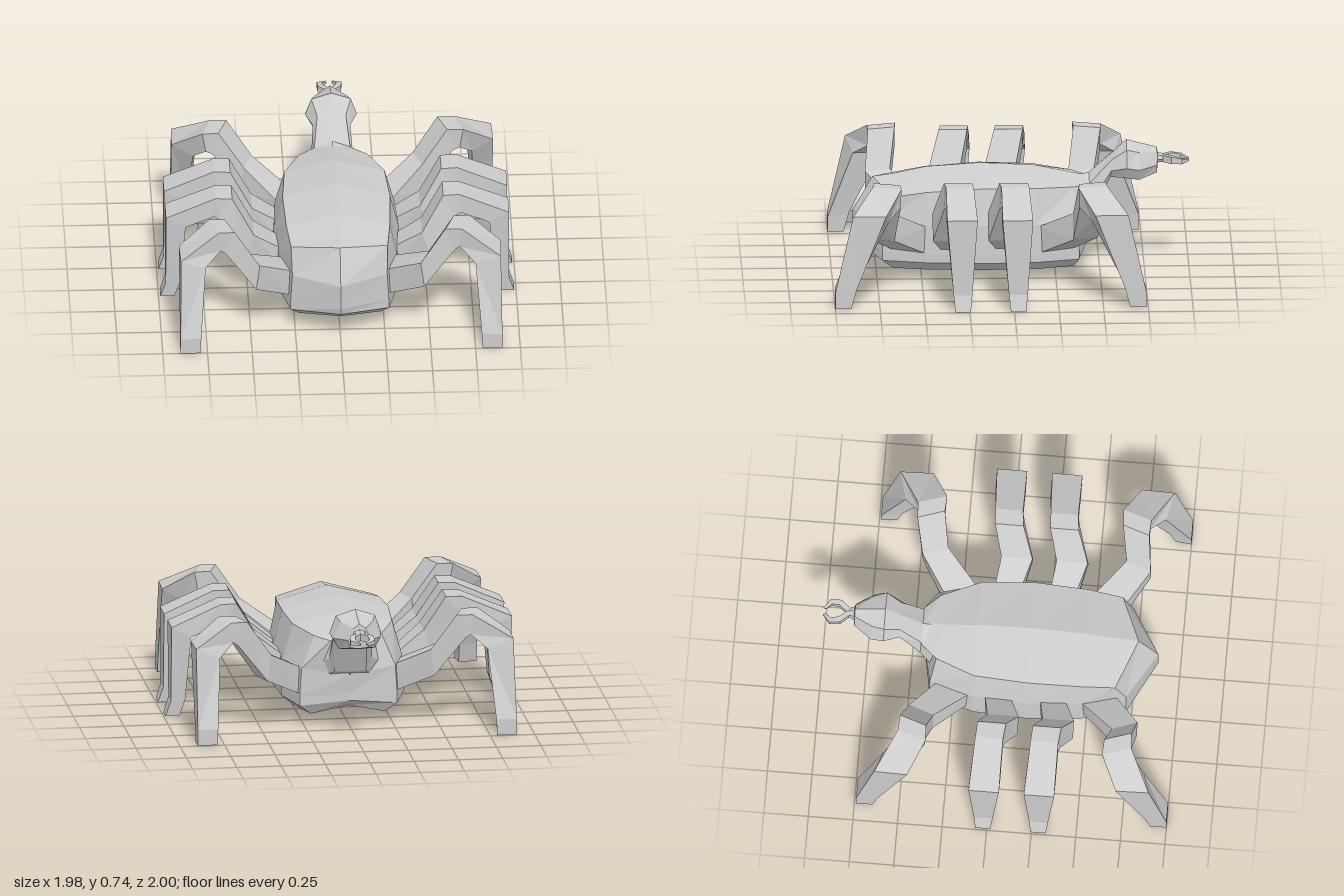
import * as THREE from 'three';

const shell = new THREE.MeshStandardMaterial({ color: 0xcccccc, flatShading: true });
shell.name = 'grey shell';

// Skin a closed, capped solid through rings of points; winding is fixed by signed volume.
function loft(name, rings) {
  const tris = [];
  const n = rings[0].length;
  const v = rings.map(r => r.map(p => new THREE.Vector3(...p)));
  const add = (a, b, c) => {
    if (new THREE.Triangle(a, b, c).getArea() > 1e-6) tris.push([a, b, c]);
  };
  for (let i = 0; i < v.length - 1; i++) {
    for (let j = 0; j < n; j++) {
      const k = (j + 1) % n;
      add(v[i][j], v[i][k], v[i + 1][k]);
      add(v[i][j], v[i + 1][k], v[i + 1][j]);
    }
  }
  const last = v[v.length - 1];
  for (let j = 1; j < n - 1; j++) {
    add(v[0][0], v[0][j + 1], v[0][j]);
    add(last[0], last[j], last[j + 1]);
  }
  const volume = tris.reduce((s, [a, b, c]) => s + a.dot(b.clone().cross(c)), 0);
  const pts = tris.flatMap(([a, b, c]) => (volume < 0 ? [a, c, b] : [a, b, c]));
  const geo = new THREE.BufferGeometry().setFromPoints(pts);
  geo.computeVertexNormals();
  const mesh = new THREE.Mesh(geo, shell);
  mesh.name = name;
  return mesh;
}

// Complete a half ring (first and last point on the centre line) across x = 0.
const mirrorRing = half => [
  ...half,
  ...half.slice(1, -1).reverse().map(([x, y, z]) => [-x, y, z]),
];
const flipX = rings => rings.map(r => r.map(([x, y, z]) => [-x, y, z]));

function makeBody() {
  // Middle stations: z, lower edge x, rim x, shoulder x, shoulder y, ridge y, shoulder z
  const stations = [
    [0.72, 0.23, 0.275, 0.27, 0.48, 0.545, 0.66],
    [0.47, 0.27, 0.335, 0.29, 0.51, 0.585, 0.47],
    [0.17, 0.29, 0.36, 0.30, 0.53, 0.605, 0.17],
    [-0.13, 0.28, 0.345, 0.28, 0.525, 0.59, -0.13],
    [-0.38, 0.21, 0.275, 0.19, 0.51, 0.545, -0.35],
  ].map(([z, low, rim, sh, sy, ry, sz]) => [
    [0, 0.11, sz], [low, 0.06, sz], [rim, 0.115, z], [rim, 0.165, z],
    [rim - 0.01, 0.33, z], [sh, sy, sz], [0, ry, sz],
  ]);
  const front = [
    [0, 0.11, 0.8], [0, 0.11, 0.8], [0, 0.16, 0.87], [0, 0.2, 0.88],
    [0, 0.34, 0.88], [0, 0.53, 0.77], [0, 0.53, 0.77],
  ];
  const back = [
    [0, 0.11, -0.38], [0, 0.11, -0.38], [0, 0.15, -0.43], [0, 0.19, -0.43],
    [0, 0.3, -0.44], [0.11, 0.5, -0.44], [0, 0.53, -0.44],
  ];
  return loft('body', [front, ...stations, back].map(mirrorRing));
}

function makeHead() {
  // Top z, top y, bottom z, bottom y, half width, half width on top
  const rings = [
    [-0.36, 0.53, -0.38, 0.27, 0.18, 0.15],
    [-0.44, 0.545, -0.45, 0.32, 0.12, 0.1],
    [-0.57, 0.66, -0.56, 0.535, 0.105, 0.08],
    [-0.65, 0.735, -0.65, 0.53, 0.145, 0.11],
    [-0.72, 0.715, -0.72, 0.52, 0.135, 0.09],
    [-0.82, 0.69, -0.82, 0.55, 0.065, 0.035],
    [-0.825, 0.66, -0.825, 0.605, 0.04, 0.03],
    [-0.87, 0.645, -0.87, 0.605, 0.018, 0.015],
  ].map(([tz, ty, bz, by, w, tw]) => {
    const at = (x, t) => [x, by + (ty - by) * t, bz + (tz - bz) * t];
    return mirrorRing([at(0, 0), at(w * 0.75, 0.03), at(w, 0.35), at(tw, 0.82), at(0, 1)]);
  });
  return loft('headAndNeck', rings);
}

// Curved jaw: outer x, z, inner x, z, top y, bottom y
const jawRings = [
  [0.02, -0.85, 0, -0.87, 0.645, 0.607],
  [0.065, -0.9, 0.035, -0.912, 0.645, 0.605],
  [0.07, -0.96, 0.04, -0.953, 0.635, 0.605],
  [0.02, -1, 0.014, -0.985, 0.622, 0.612],
].map(([ox, oz, ix, iz, t, b]) => [[ox, t, oz], [ox, b, oz], [ix, b, iz], [ix, t, iz]]);

// Side leg: outer x, y, inner x, y, near z, far z
const sideLeg = shift => [
  [0.3, 0.31, 0.28, 0.16, 0.07, -0.07],
  [0.47, 0.44, 0.52, 0.29, 0.135, -0.04],
  [0.59, 0.64, 0.66, 0.51, 0.075, -0.085],
  [0.68, 0.64, 0.69, 0.525, 0.065, -0.09],
  [0.96, 0.52, 0.85, 0.46, 0.065, -0.105],
  [0.96, 0.09, 0.88, 0.09, 0.03, -0.075],
  [0.99, 0, 0.91, 0, 0.02, -0.065],
].map(([ox, oy, ix, iy, a, b]) => [
  [ox, oy, a + shift], [ox, oy, b + shift], [ix, iy, b + shift], [ix, iy, a + shift],
]);

// Splayed corner leg: four corners per ring, end side then middle side
const frontLeg = [
  [[0.25, 0.32, 0.65], [0.32, 0.32, 0.48], [0.32, 0.165, 0.48], [0.25, 0.165, 0.65]],
  [[0.45, 0.44, 0.8], [0.5, 0.44, 0.66], [0.52, 0.29, 0.66], [0.47, 0.29, 0.8]],
  [[0.59, 0.645, 0.78], [0.64, 0.645, 0.63], [0.67, 0.51, 0.63], [0.64, 0.51, 0.78]],
  [[0.68, 0.645, 0.785], [0.73, 0.645, 0.625], [0.71, 0.53, 0.63], [0.67, 0.53, 0.78]],
  [[0.895, 0.53, 0.9], [0.9, 0.53, 0.715], [0.78, 0.465, 0.7], [0.755, 0.465, 0.86]],
  [[0.9, 0.09, 1], [0.9, 0.11, 0.88], [0.8, 0.11, 0.88], [0.785, 0.09, 1]],
  [[0.9, 0, 1], [0.9, 0, 0.91], [0.8, 0, 0.91], [0.79, 0, 1]],
];
// The back pair mirrors the front pair, with its root set a little inward
const backLeg = frontLeg.map((ring, i) =>
  ring.map(([x, y, z]) => [x, y, 0.26 - z + (i < 2 ? 0.06 : 0)]));

export function createModel() {
  const model = new THREE.Group();
  model.name = 'bug';
  model.add(makeBody(), makeHead());
  const paired = {
    Jaw: jawRings,
    FrontLeg: frontLeg,
    ForwardMiddleLeg: sideLeg(0.31),
    RearMiddleLeg: sideLeg(0),
    BackLeg: backLeg,
  };
  for (const [name, rings] of Object.entries(paired)) {
    model.add(loft('left' + name, rings), loft('right' + name, flipX(rings)));
  }
  return model;
}
